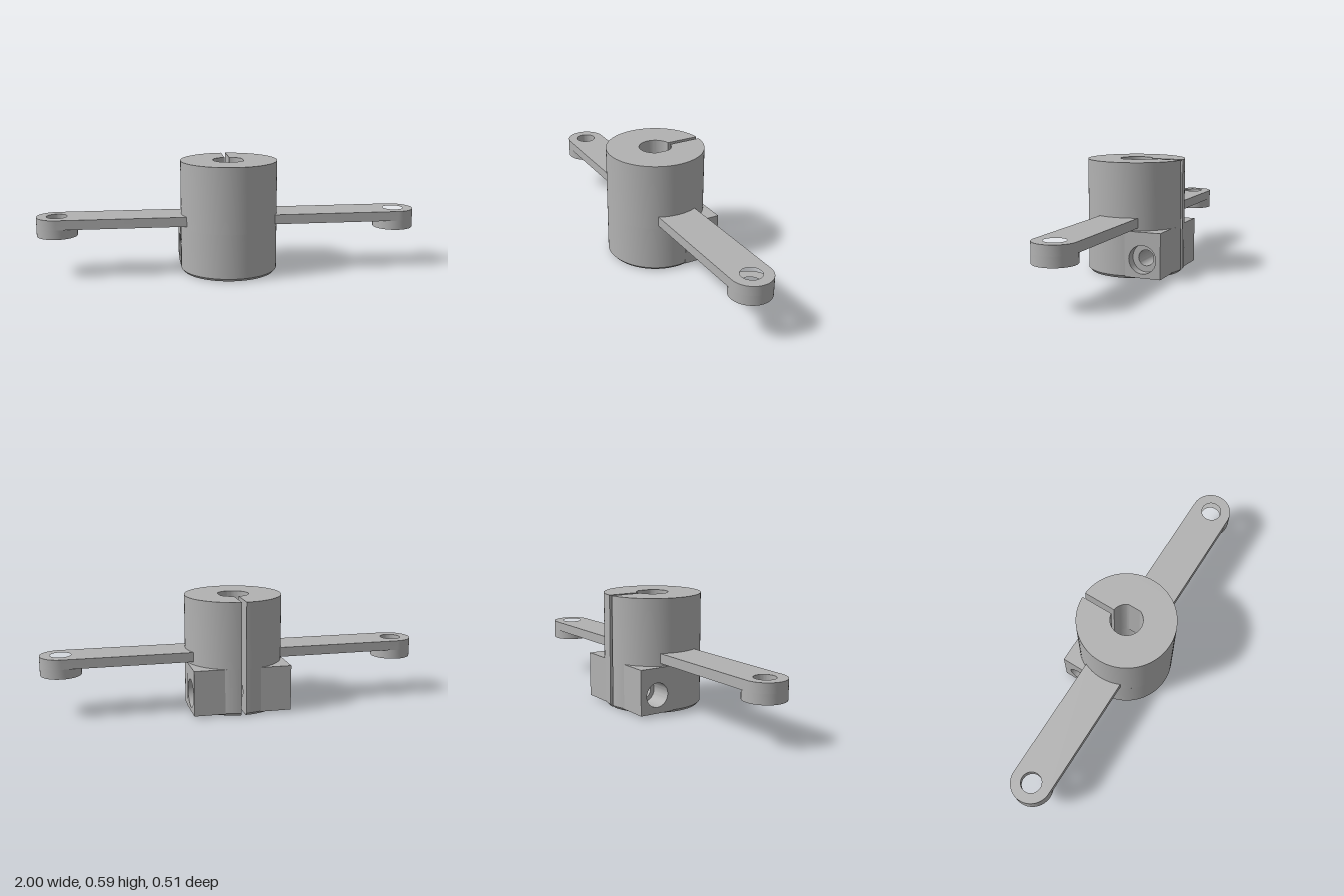
import * as THREE from 'three';
import { toCreasedNormals } from 'three/addons/utils/BufferGeometryUtils.js';

const R = 0.253, BORE = 0.083, SLOT = 0.012, FLAT = 0.075;
const BLOCK_BACK = 0.235, BLOCK_FRONT = 0.043, BLOCK_TOP = 0.245;
const BOLT_Y = 0.105, BOLT_Z = 0.138;

// Clockwise arc, angles measured from the back (+Y of the outline)
function arc(r, from, to, n, maxX = Infinity) {
  return Array.from({ length: n + 1 }, (_, i) => {
    const a = from + (to - from) * i / n;
    return new THREE.Vector2(Math.min(maxX, r * Math.sin(a)), r * Math.cos(a));
  });
}

function shapeWithHole(points, hx, hy, hr) {
  const shape = new THREE.Shape(points);
  if (hr) shape.holes.push(new THREE.Path().absarc(hx, hy, hr, 0, Math.PI * 2, true));
  return shape;
}

function extrude(shape, depth) {
  return new THREE.ExtrudeGeometry(shape, { depth, bevelEnabled: false, curveSegments: 24 });
}

// Upright prism; outline Y points to the back
function prism(shape, y0, y1) {
  return extrude(shape, y1 - y0).rotateX(-Math.PI / 2).translate(0, y0, 0);
}

export function createModel() {
  const model = new THREE.Group();
  const metal = new THREE.MeshStandardMaterial({ color: 0xb2b2b2 });
  metal.name = 'grey metal';

  function add(name, geometry, parent = model) {
    const mesh = new THREE.Mesh(toCreasedNormals(geometry, 0.5), metal);
    mesh.name = name;
    parent.add(mesh);
  }
  const v = (x, y) => new THREE.Vector2(x, y);
  const TAU = Math.PI * 2;
  const outerGap = Math.asin(SLOT / R), boreGap = Math.asin(SLOT / BORE);

  // Slotted ring outline, optionally with a flat on the bore
  const ring = (flat) => new THREE.Shape([
    ...arc(R, outerGap, TAU - outerGap, 96),
    ...arc(BORE, TAU - boreGap, boreGap, 64, flat),
  ]);

  // Upper hub with D-shaped bore
  add('upperHub', prism(ring(FLAT), BLOCK_TOP, 0.588));

  // Chamfered foot of the hub
  const foot = prism(ring(Infinity), 0, 0.014);
  const p = foot.attributes.position;
  for (let i = 0; i < p.count; i++) {
    const x = p.getX(i), z = p.getZ(i);
    if (p.getY(i) < 0.001 && Math.hypot(x, z) > 0.2) {
      p.setX(i, x * 0.95);
      p.setZ(i, z * 0.95);
    }
  }
  foot.computeVertexNormals();
  add('hubFoot', foot);

  // Lower hub in front of the clamp blocks
  const side = Math.acos(BLOCK_FRONT / R);
  add('lowerHub', prism(new THREE.Shape([
    ...arc(R, side, TAU - side, 80),
    v(-FLAT, BLOCK_FRONT), v(-FLAT, 0.09), v(-SLOT, 0.09),
    ...arc(BORE, TAU - boreGap, boreGap, 64),
    v(SLOT, 0.09), v(FLAT, 0.09), v(FLAT, BLOCK_FRONT),
  ]), 0.014, BLOCK_TOP));

  // Clamp block slab, running along x, with a bolt hole
  function slab(x0, x1, front, holeRadius) {
    const pts = [v(front, 0.01), v(BLOCK_BACK, 0.01), v(BLOCK_BACK, BLOCK_TOP), v(front, BLOCK_TOP)];
    return extrude(shapeWithHole(pts, BOLT_Z, BOLT_Y, holeRadius), x1 - x0)
      .rotateY(Math.PI / 2).translate(x0, 0, 0);
  }

  for (const s of [1, -1]) {
    const label = s > 0 ? 'left' : 'right';
    const place = (a, b, front, r) => slab(Math.min(s * a, s * b), Math.max(s * a, s * b), front, r);

    // Clamp block: counterbored outer slab, bolt slab, inner slab beside the bore
    const clamp = new THREE.Group();
    clamp.name = label + 'ClampBlock';
    model.add(clamp);
    const step = s > 0 ? 0.2 : 0.13;
    add('counterboreSlab', place(step, R, BLOCK_FRONT, s > 0 ? 0.073 : 0.063), clamp);
    add('boltSlab', place(FLAT, step, BLOCK_FRONT, 0.041), clamp);
    add('innerSlab', place(SLOT, FLAT, 0.09, 0.041), clamp);

    // Rounded hub surface behind the clamp block
    const back = Math.acos(BLOCK_BACK / R);
    add(label + 'HubBack', prism(new THREE.Shape([
      ...arc(R, s * outerGap, s * back, 10), v(s * SLOT, BLOCK_BACK),
    ]), 0.014, BLOCK_TOP));

    // Arm with rounded eyelet end and a boss below it
    const arm = new THREE.Group();
    arm.name = label + 'Arm';
    model.add(arm);
    const W = 0.105, cx = 1 - W;
    const end = arc(W, 0, Math.PI, 32).map((q) => v(s * (cx + q.x), q.y));
    add('armBar', prism(shapeWithHole(
      [v(s * 0.2, W), ...end, v(s * 0.2, -W)], s * cx, 0, 0.053), 0.26, 0.31), arm);
    const disc = arc(W, 0, TAU, 64).slice(0, -1).map((q) => v(s * cx + q.x, q.y));
    add('armBoss', prism(shapeWithHole(disc, s * cx, 0, 0.053), 0.21, 0.26), arm);
  }
  return model;
}
